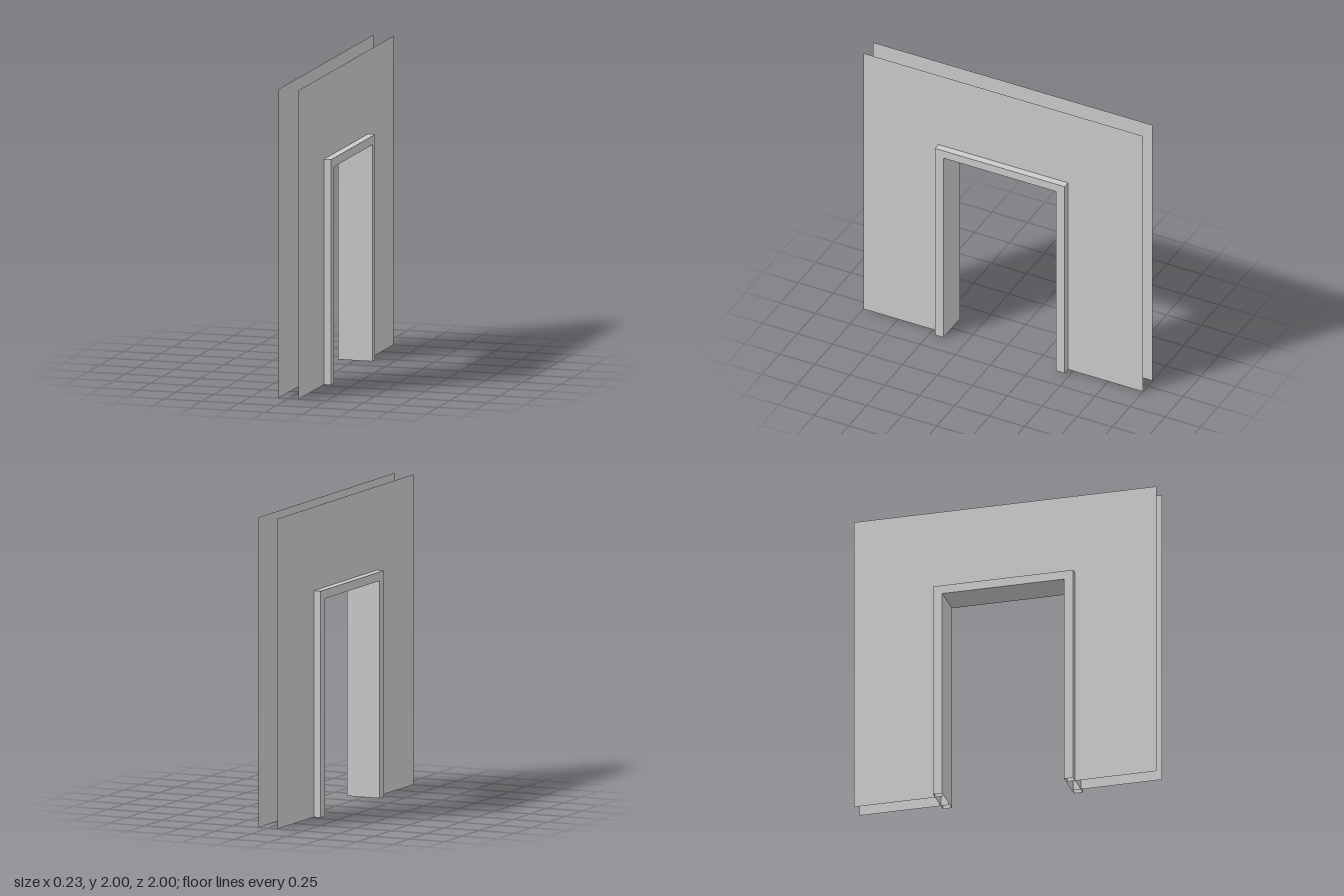
import * as THREE from 'three';

const material = new THREE.MeshStandardMaterial({ color: 0xcccccc, side: THREE.DoubleSide });

// U-shaped outline in (z, y): up one jamb, across the head, down the other
const doorway = (halfWidth, height) => [
  [halfWidth, 0], [halfWidth, height], [-halfWidth, height], [-halfWidth, 0],
];

// Thin wall sheet with a doorway cut from its lower edge
function wallSheet(x, name) {
  const points = [[-1, 0], [-1, 2], [1, 2], [1, 0], ...doorway(0.41, 1.41)];
  const shape = new THREE.Shape(points.map(([z, y]) => new THREE.Vector2(-z, y)));
  const geometry = new THREE.ShapeGeometry(shape).rotateY(Math.PI / 2);
  const mesh = new THREE.Mesh(geometry, material);
  mesh.name = name;
  mesh.position.x = x;
  // each sheet faces away from the wall's core
  if (x < 0) mesh.rotation.y = Math.PI;
  return mesh;
}

// Hollow rectangular casing swept round the doorway with mitred corners, open at the floor
function doorFrame(halfDepth) {
  const inner = doorway(0.403, 1.403);
  const outer = doorway(0.463, 1.46);
  const rings = inner.map(([zi, yi], i) => {
    const [zo, yo] = outer[i];
    return [
      [halfDepth, yo, zo], [halfDepth, yi, zi],
      [-halfDepth, yi, zi], [-halfDepth, yo, zo],
    ];
  });
  const positions = [];
  for (let i = 0; i < 3; i++) {
    for (let j = 0; j < 4; j++) {
      const k = (j + 1) % 4;
      const a = rings[i][j], b = rings[i][k], c = rings[i + 1][k], d = rings[i + 1][j];
      positions.push(...a, ...b, ...c, ...a, ...c, ...d);
    }
  }
  const geometry = new THREE.BufferGeometry();
  geometry.setAttribute('position', new THREE.Float32BufferAttribute(positions, 3));
  geometry.computeVertexNormals();
  const mesh = new THREE.Mesh(geometry, material);
  mesh.name = 'doorFrame';
  return mesh;
}

export function createModel() {
  const group = new THREE.Group();
  group.name = 'wallWithDoorway';
  group.add(wallSheet(0.067, 'leftWallSheet'), wallSheet(-0.067, 'rightWallSheet'), doorFrame(0.115));
  return group;
}
